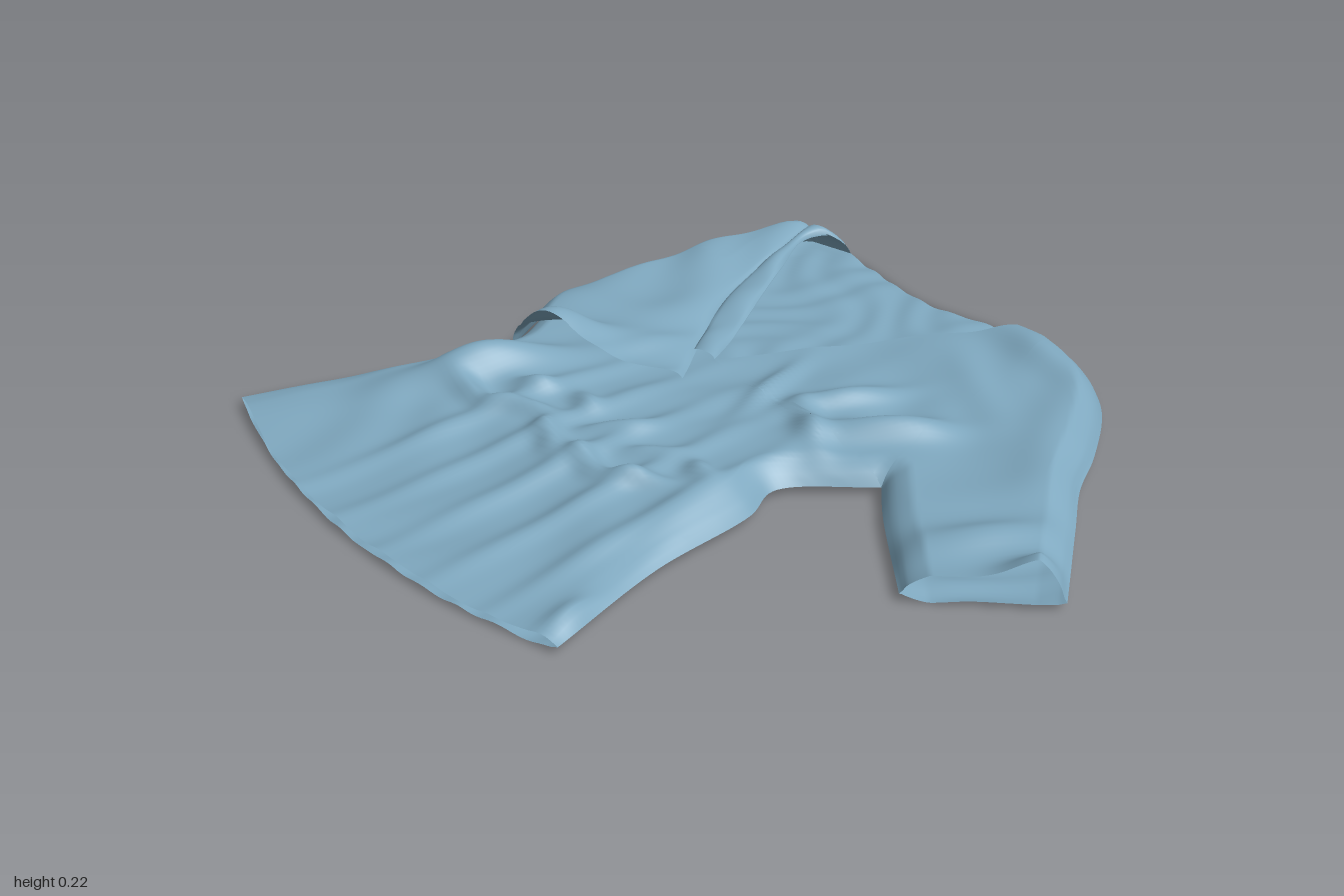
import * as THREE from 'three';

// All outline points are [x, z] on the ground plane.
const curve = (...pts) => new THREE.CatmullRomCurve3(
  pts.map(([x, z]) => new THREE.Vector3(x, 0, z)), false, 'centripetal');

const shoulderL = [-0.81, -0.935], shoulderR = [0.2, -0.93];
const neckL = [-0.66, -0.965], neckR = [0.06, -0.945], neckV = [-0.3, -0.15];
const waistL = [-0.915, -0.195], armpit = [0.38, -0.1];
const hemL = [-1, 0.84], hemR = [0.42, 0.86];
const cuffTop = [0.99, -0.07], cuffLow = [0.73, 0.18];

// Seams and outer edges
const topL = curve(shoulderL, neckL);
const topR = curve(neckR, shoulderR);
const topBack = curve(shoulderL, neckL, [-0.3, -0.915], [-0.06, -0.95], neckR, shoulderR);
const sideL = curve(shoulderL, [-0.86, -0.86], [-0.9, -0.6], waistL);
const flankL = curve(waistL, [-0.9, -0.05], [-0.8, 0.14], [-0.81, 0.27], [-0.95, 0.66], hemL);
const flankR = curve(armpit, [0.23, 0.1], [0.28, 0.22], [0.32, 0.52], hemR);
const hem = curve(hemL, [-0.66, 0.925], [-0.28, 0.96], [0.1, 0.935], hemR);
const armhole = curve(shoulderR, armpit);
const sleeveTop = curve(shoulderR, [0.32, -0.89], [0.46, -0.79], [0.61, -0.59], [0.69, -0.45], [0.8, -0.31], cuffTop);
const sleeveLow = curve(armpit, [0.48, -0.01], cuffLow);
const cuff = curve(cuffTop, cuffLow);
const waist = curve(waistL, armpit);
const neckEdgeL = curve(neckL, [-0.7, -0.82], [-0.6, -0.64], [-0.36, -0.25], neckV);
const neckEdgeR = curve(neckR, [0.08, -0.87], [-0.08, -0.58], neckV);

// Closed edges, where front and back cloth meet
const closed = [topL, topR, sideL, flankL, flankR, sleeveTop, sleeveLow]
  .flatMap(c => c.getSpacedPoints(150));

// 0 on a closed edge, rounding up to 1 inside the cloth
function edgeFactor(x, z) {
  let d = 1;
  for (const p of closed) d = Math.min(d, (p.x - x) ** 2 + (p.z - z) ** 2);
  return Math.sqrt(THREE.MathUtils.clamp((Math.sqrt(d) - 0.006) / 0.06, 0, 1));
}

// Main folds in the cloth: x1, z1, x2, z2, width, height
const folds = [
  [0.05, -0.84, 0.45, -0.74, 0.06, 0.03],  // shoulder
  [0.1, -0.65, 0.4, -0.45, 0.06, 0.02],    // chest
  [0.4, -0.72, 0.68, -0.32, 0.08, 0.025],
  [0.14, -0.38, 0.02, -0.12, 0.04, 0.035], // gathers above the waist
  [0.02, -0.16, 0.22, -0.04, 0.035, 0.03],
  [0.36, -0.34, 0.17, -0.1, 0.05, 0.055],
  [-0.14, -0.3, -0.04, -0.02, 0.03, 0.025],
  [-0.58, 0.14, -0.72, 0.52, 0.07, 0.075], // skirt
  [0.36, 0.7, 0.39, 0.86, 0.04, 0.045],
  [0.82, -0.2, 0.68, 0.06, 0.06, 0.025],   // sleeve
  [0.99, -0.12, 0.89, 0.02, 0.06, 0.06],
];
// Small puckers around the waist, and long soft folds down the skirt
for (let i = 0; i < 5; i++) {
  const x = -0.55 + 0.15 * i, z = 0.4 + 0.03 * Math.cos(2.5 * i), tilt = 0.05 * Math.sin(2 * i);
  folds.push([x - 0.08, z + tilt, x + 0.08, z - tilt, 0.03, 0.03]);
  folds.push([x + 0.02, z - 0.1 - tilt, x + 0.12, z - 0.17 + tilt, 0.03, 0.025]);
  folds.push([x + 0.12, -0.05, x + 0.06 + 0.03 * i, 0.9, 0.035, 0.018]);
}

// Each fold is a mound that fades along its length and across its width
function foldHeight(x, z) {
  let h = 0;
  for (const [x1, z1, x2, z2, w, a] of folds) {
    const len = Math.hypot(x2 - x1, z2 - z1), ax = (x2 - x1) / len, az = (z2 - z1) / len;
    const px = x - (x1 + x2) / 2, pz = z - (z1 + z2) / 2;
    const along = (px * ax + pz * az) / (len / 2), across = (px * az - pz * ax) / w;
    h += a * Math.exp(-(along ** 2) - across ** 2);
  }
  return h;
}

const ripple = (x, z) =>
  Math.sin(14 * x + 2 * Math.sin(6 * z)) * Math.sin(11 * z + 2 * Math.sin(7 * x + 1));

function frontHeight(x, z) {
  const base = 0.045 * THREE.MathUtils.smoothstep(0.96 - z, 0, 0.75)
    + 0.015 * THREE.MathUtils.smoothstep(-z, 0.2, 0.7);
  return 0.02 + edgeFactor(x, z) * (0.006 + base + foldHeight(x, z) + 0.006 * ripple(x, z));
}

function backHeight(x, z) {
  const gather = Math.exp(-(((z - 0.12) / 0.1) ** 2));
  const inner = (0.006 + 0.005 * gather) * (1 + ripple(x * 2, z * 2));
  return THREE.MathUtils.lerp(0.02, inner, edgeFactor(x, z));
}

const cloth = new THREE.MeshStandardMaterial({ color: 0x7fa8bf, side: THREE.DoubleSide });

// Sheet of cloth spanning four edge curves, lifted by a height rule
function sheet(name, top, bottom, left, right, height, nu = 50, nv = 50) {
  const geo = new THREE.PlaneGeometry(1, 1, nu, nv);
  const pos = geo.attributes.position;
  const T = top.getSpacedPoints(nu), B = bottom.getSpacedPoints(nu);
  const L = left.getSpacedPoints(nv), R = right.getSpacedPoints(nv);
  for (let j = 0; j <= nv; j++) {
    for (let i = 0; i <= nu; i++) {
      const u = i / nu, v = j / nv;
      const at = k => (1 - v) * T[i][k] + v * B[i][k] + (1 - u) * L[j][k] + u * R[j][k]
        - (1 - u) * (1 - v) * T[0][k] - u * (1 - v) * T[nu][k]
        - (1 - u) * v * B[0][k] - u * v * B[nu][k];
      const x = at('x'), z = at('z');
      pos.setXYZ(j * (nu + 1) + i, x, height(x, z, u, v), z);
    }
  }
  geo.computeVertexNormals();
  const mesh = new THREE.Mesh(geo, cloth);
  mesh.name = name;
  return mesh;
}

export function createModel() {
  const group = new THREE.Group();
  group.name = 'blouse';

  // Back cloth, lying on the ground
  group.add(
    sheet('upperBack', topBack, waist, sideL, armhole, backHeight, 80),
    sheet('lowerBack', waist, hem, flankL, flankR, backHeight, 80, 80),
    sheet('sleeveBack', sleeveTop, sleeveLow, armhole, cuff, backHeight));

  // Front cloth, open along the neckline; the upper panels tuck a little under the lower one
  group.add(
    sheet('rightFront', topL, curve(waistL, neckV), sideL, neckEdgeL, frontHeight),
    sheet('leftFront', topR, curve(neckV, [0.04, -0.1], armpit), neckEdgeR, armhole, frontHeight),
    sheet('lowerFront', waist, hem, flankL, flankR, frontHeight, 90, 80),
    sheet('sleeveFront', sleeveTop, sleeveLow, armhole, cuff, frontHeight));

  // Collar band beside the neckline
  const bandTop = [-0.78, -0.935], bandEnd = [-0.38, -0.14];
  group.add(sheet('collarBand', curve(bandTop, neckL), curve(bandEnd, neckV),
    curve(bandTop, [-0.57, -0.42], bandEnd), neckEdgeL,
    (x, z, u, v) => frontHeight(x, z) + 0.003
      + 0.015 * Math.sqrt(Math.max(0, Math.sin(Math.PI * u))) * (1 + 0.4 * Math.sin(22 * v)), 12));

  // Second sleeve, folded across the front with an open cuff
  const foldTop = [-0.85, -0.88], foldRight = [-0.78, -0.935];
  const cuffIn = [-0.27, -0.02], cuffOut = [-0.79, 0.15];
  group.add(sheet('foldedSleeve', curve(foldTop, foldRight),
    curve(cuffOut, [-0.6, 0.19], [-0.42, 0.1], cuffIn),
    curve(foldTop, [-0.9, -0.6], waistL, [-0.9, -0.05], cuffOut),
    curve(foldRight, [-0.56, -0.4], cuffIn),
    (x, z, u, v) => {
      const arch = Math.sqrt(Math.max(0, Math.sin(Math.PI * u)));
      const peak = Math.exp(-(((x + 0.57) / 0.11) ** 2) - ((z - 0.18) / 0.12) ** 2);
      const under = Math.min(frontHeight(x, z), 0.085);
      return under + 0.004 + arch * (0.015 + 0.035 * v + 0.09 * peak + 0.01 * ripple(x + 0.3, z));
    }, 50, 60));
  return group;
}
